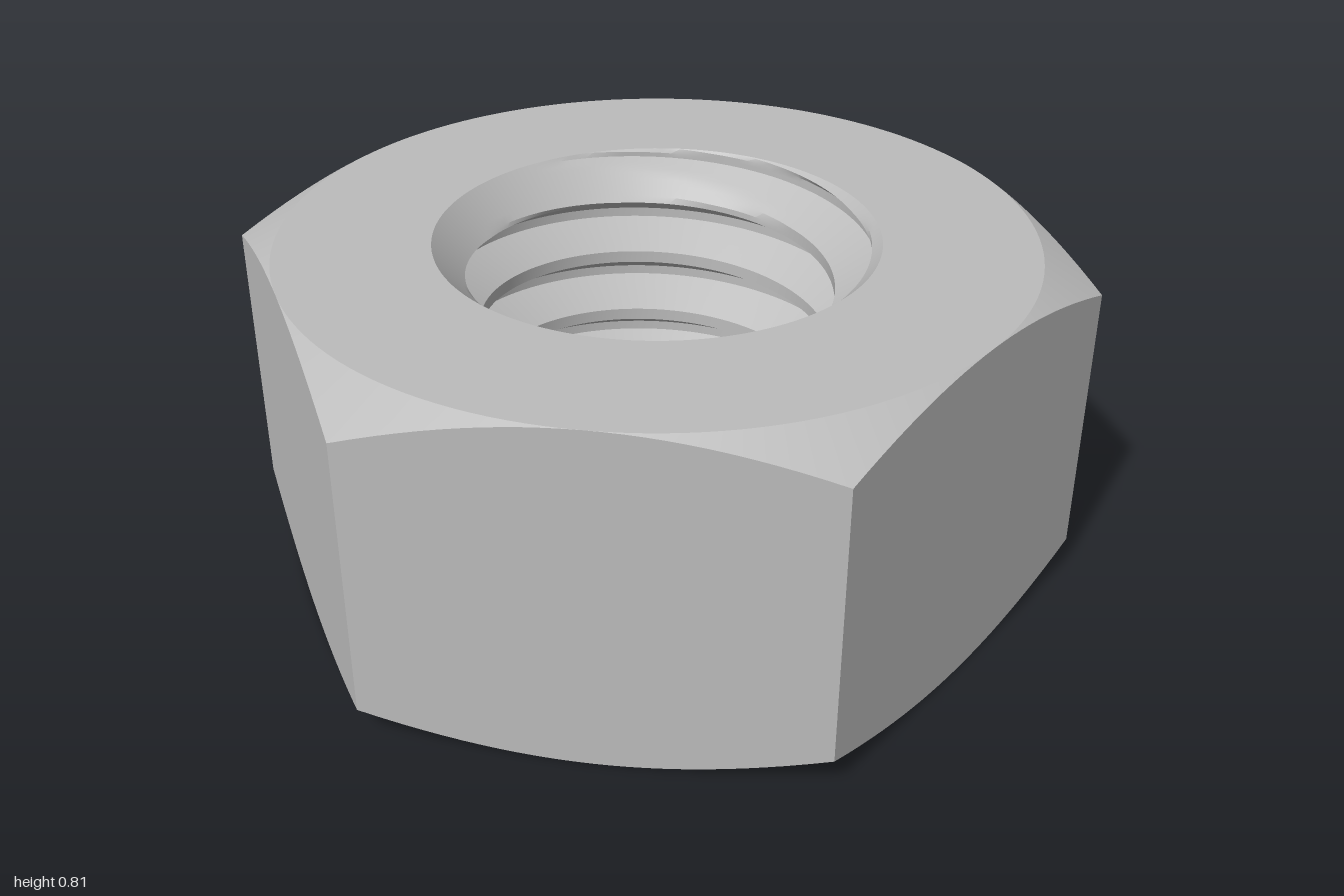
import * as THREE from 'three';
import { toCreasedNormals } from 'three/addons/utils/BufferGeometryUtils.js';

const HEIGHT = 0.814, FLAT = 0.866;          // thickness, centre to flat
const MINOR = 0.41, MAJOR = 0.506, RIM = 0.511; // bore radii
const PITCH = 0.165, COLUMNS = 144;

// Skin of rows x columns; point(column, row) gives [radius, y].
// Columns run clockwise from the back, seen from above.
function loft(rows, point, crease) {
  const positions = [];
  const at = (i, j) => {
    const [r, y] = point(i, j);
    const a = ((i % COLUMNS) / COLUMNS) * Math.PI * 2;
    return new THREE.Vector3(r * Math.sin(a), y, -r * Math.cos(a));
  };
  const triangle = new THREE.Triangle();
  const add = (a, b, c) => {
    if (triangle.set(a, b, c).getArea() < 1e-8) return;
    for (const v of [a, b, c]) positions.push(v.x, v.y, v.z);
  };
  for (let i = 0; i < COLUMNS; i++) {
    for (let j = 0; j < rows; j++) {
      const a = at(i, j), b = at(i + 1, j), c = at(i + 1, j + 1), d = at(i, j + 1);
      add(a, b, c);
      add(a, c, d);
    }
  }
  const geometry = new THREE.BufferGeometry();
  geometry.setAttribute('position', new THREE.Float32BufferAttribute(positions, 3));
  return toCreasedNormals(geometry, crease);
}

// Hexagonal outside: end faces, conical corner chamfers and six flats
function bodyGeometry() {
  const side = COLUMNS / 6;
  return loft(5, (i, j) => {
    const phi = ((i % side) / side - 0.5) * (Math.PI / 3);
    const hex = FLAT / Math.cos(phi);
    const drop = (hex - FLAT) * Math.tan(Math.PI / 6);
    return [
      [RIM, HEIGHT], [FLAT, HEIGHT], [hex, HEIGHT - drop],
      [hex, drop], [FLAT, 0], [RIM, 0],
    ][j];
  }, 0.3);
}

// Right-hand V thread, opened by a 45 degree countersink at both ends
function threadGeometry() {
  const profile = [ // fraction of a pitch, radius
    [0, MAJOR], [0.07, MAJOR], [0.41, MINOR], [0.59, MINOR], [0.93, MAJOR], [1, MAJOR],
  ];
  const steps = [1, 6, 2, 6, 1];
  const turn = [];
  steps.forEach((n, k) => {
    for (let s = 0; s < n; s++) {
      turn.push(profile[k].map((v, axis) => THREE.MathUtils.lerp(v, profile[k + 1][axis], s / n)));
    }
  });
  const turns = Math.ceil(HEIGHT / PITCH) + 1;
  return loft(turns * turn.length, (i, j) => {
    const [fraction, radius] = turn[j % turn.length];
    const lift = Math.floor(j / turn.length) + fraction + 1 - turns - i / COLUMNS;
    const y = THREE.MathUtils.clamp(HEIGHT + PITCH * lift, 0, HEIGHT);
    const sink = RIM - Math.min(y, HEIGHT - y);
    return [Math.max(radius, sink), y];
  }, 0.4);
}

export function createModel() {
  const steel = new THREE.MeshStandardMaterial({ color: 0xbcbcbc });
  steel.name = 'steel grey';

  const nut = new THREE.Group();
  nut.name = 'hexNut';

  const body = new THREE.Mesh(bodyGeometry(), steel);
  body.name = 'hexBody';
  const thread = new THREE.Mesh(threadGeometry(), steel);
  thread.name = 'innerThread';

  nut.add(body, thread);
  return nut;
}
